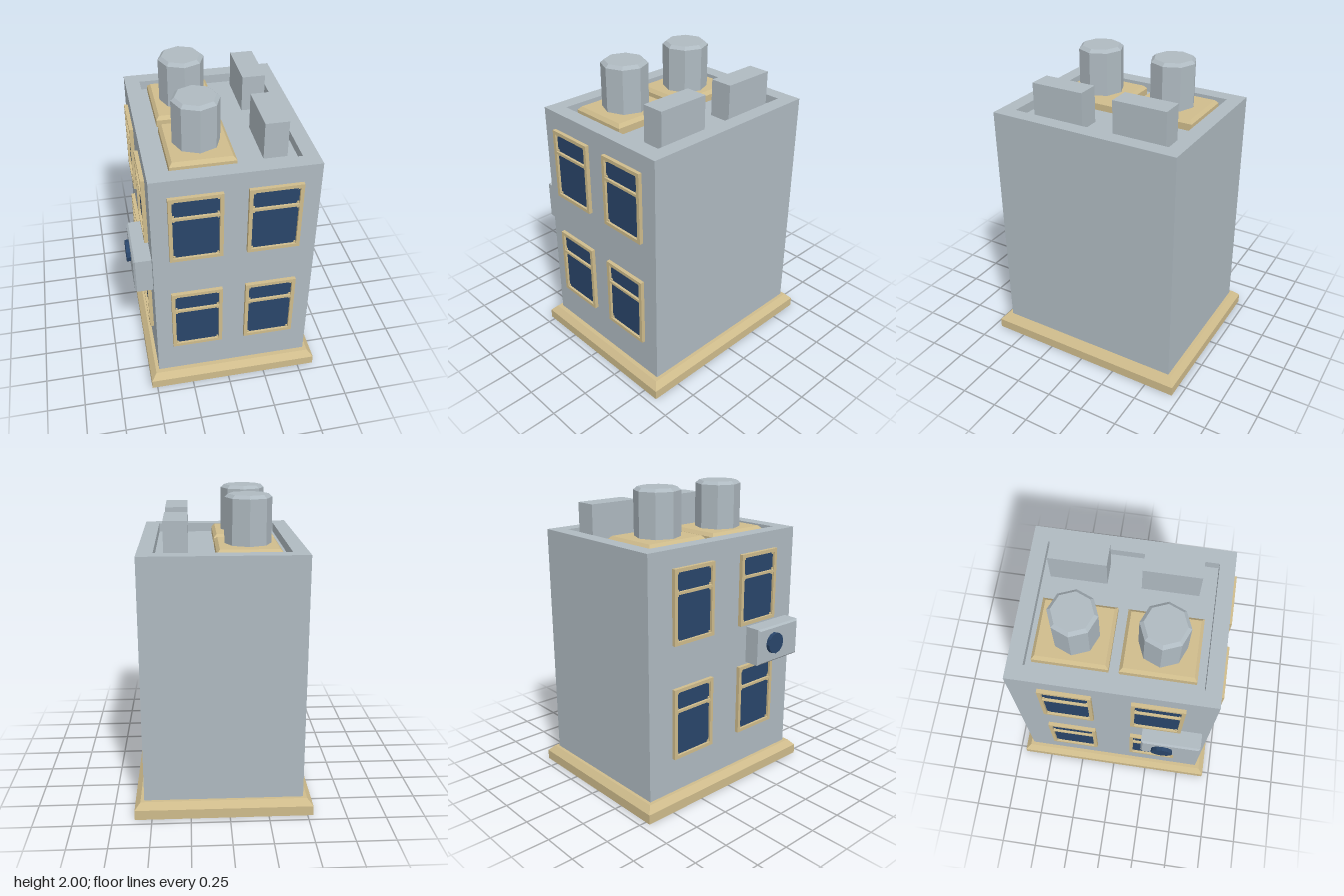
import * as THREE from 'three';

const flat = (name, color) => {
  const m = new THREE.MeshStandardMaterial({ color });
  m.name = name;
  return m;
};

export function createModel() {
  const grey = flat('wall grey', 0xafbac1);
  const tan = flat('sandstone', 0xcfbc8c);
  const navy = flat('dark blue', 0x29456a);
  const model = new THREE.Group();
  model.name = 'townhouse';

  const add = (parent, name, geo, mat, x = 0, y = 0, z = 0) => {
    const mesh = new THREE.Mesh(geo, mat);
    mesh.name = name;
    mesh.position.set(x, y, z);
    parent.add(mesh);
    return mesh;
  };

  // Box with its base on y = 0 and the top rim chamfered
  const chamferedBlock = (w, h, d, inset, drop) => {
    const g = new THREE.BoxGeometry(w, h, d, 1, 2, 1).toNonIndexed();
    const p = g.attributes.position;
    for (let i = 0; i < p.count; i++) {
      const x = p.getX(i), y = p.getY(i), z = p.getZ(i);
      if (y > h / 4) p.setXYZ(i, x - Math.sign(x) * inset, h, z - Math.sign(z) * inset);
      else p.setY(i, y < -h / 4 ? 0 : h - drop);
    }
    g.computeVertexNormals();
    return g;
  };

  const rect = (Type, x0, y0, x1, y1) => {
    const s = new Type();
    s.moveTo(x0, y0);
    s.lineTo(x1, y0);
    s.lineTo(x1, y1);
    s.lineTo(x0, y1);
    s.closePath();
    return s;
  };

  // Plinth and main walls
  const cx = 0.037, cz = -0.004;
  add(model, 'plinth', chamferedBlock(1.145, 0.105, 1.4, 0.037, 0.04), tan, cx, 0, 0);
  const roofY = 1.63, topY = 1.69, W = 1.024, D = 1.274;
  add(model, 'walls', new THREE.BoxGeometry(W, roofY - 0.1, D), grey, cx, (roofY + 0.1) / 2, cz);

  // Parapet around the sunken roof
  const ring = rect(THREE.Shape, -W / 2, -D / 2, W / 2, D / 2);
  ring.holes.push(rect(THREE.Path, -W / 2 + 0.098, -D / 2 + 0.098, W / 2 - 0.098, D / 2 - 0.098));
  const parapet = new THREE.ExtrudeGeometry(ring, { depth: topY - roofY, bevelEnabled: false });
  parapet.rotateX(-Math.PI / 2);
  add(model, 'parapet', parapet, grey, cx, roofY, cz);

  // Chimneys on stone pads, with a roof box beside each
  [-1, 1].forEach((s) => {
    const z = s * 0.263 - 0.007;
    add(model, 'chimneyPad', chamferedBlock(0.404, 0.066, 0.464, 0.02, 0.022), tan, -0.129, roofY, z - 0.004);
    add(model, 'chimney', new THREE.CylinderGeometry(0.148, 0.148, 0.29, 8, 1, true).toNonIndexed(),
      grey, -0.131, 1.835, z).geometry.computeVertexNormals();
    add(model, 'chimneyCap', new THREE.CylinderGeometry(0.125, 0.148, 0.02, 8).toNonIndexed(),
      grey, -0.131, 1.99, z).geometry.computeVertexNormals();
    add(model, 'roofBox', new THREE.BoxGeometry(0.148, 1.87 - roofY, 0.358), grey,
      0.317, (1.87 + roofY) / 2, s * 0.286 - 0.03);
  });

  // Sash window facing +z, with its back on the wall
  const w = 0.165, h = 0.237, b = 0.023, barLow = 0.078, barHigh = 0.095;
  const frameShape = rect(THREE.Shape, -w, -h, w, h);
  const panes = [[-h + b, barLow], [barHigh, h - b]];
  panes.forEach(([y0, y1]) => frameShape.holes.push(rect(THREE.Path, -w + b, y0, w - b, y1)));
  const frameGeo = new THREE.ExtrudeGeometry(frameShape, { depth: 0.025, bevelEnabled: false });
  const glassGeo = new THREE.BoxGeometry(2 * (w - b), 2 * (h - b), 0.008);
  const studGeo = new THREE.BoxGeometry(0.011, 0.011, 0.012);
  const addWindow = (x, y, z, turn) => {
    const g = new THREE.Group();
    g.name = 'window';
    add(g, 'windowFrame', frameGeo, tan);
    add(g, 'windowGlass', glassGeo, navy, 0, 0, 0.005);
    // Small studs in the pane corners
    panes.forEach(([y0, y1]) => [y0 + 0.008, y1 - 0.008].forEach((sy) =>
      [-1, 1].forEach((s) => add(g, 'cornerStud', studGeo, tan, s * (w - b - 0.008), sy, 0.012))));
    g.position.set(x, y, z);
    g.rotation.y = turn;
    model.add(g);
  };
  [0.58, 1.338].forEach((y) => [-1, 1].forEach((s) => {
    addWindow(cx - 0.003 + s * 0.24, y, cz + D / 2, 0);
    addWindow(cx - W / 2, y, cz + s * 0.286, -Math.PI / 2);
  }));

  // Air conditioner on the right wall, chamfered on its outer face
  const unit = chamferedBlock(0.248, 0.12, 0.39, 0.012, 0.012);
  unit.rotateZ(Math.PI / 2);
  add(model, 'airConditioner', unit, grey, cx - W / 2 + 0.005, 0.955, 0.395);
  const fan = new THREE.CylinderGeometry(0.071, 0.071, 0.03, 12).toNonIndexed();
  fan.computeVertexNormals();
  fan.rotateZ(Math.PI / 2);
  add(model, 'fan', fan, navy, -0.6, 0.966, 0.343);

  return model;
}
